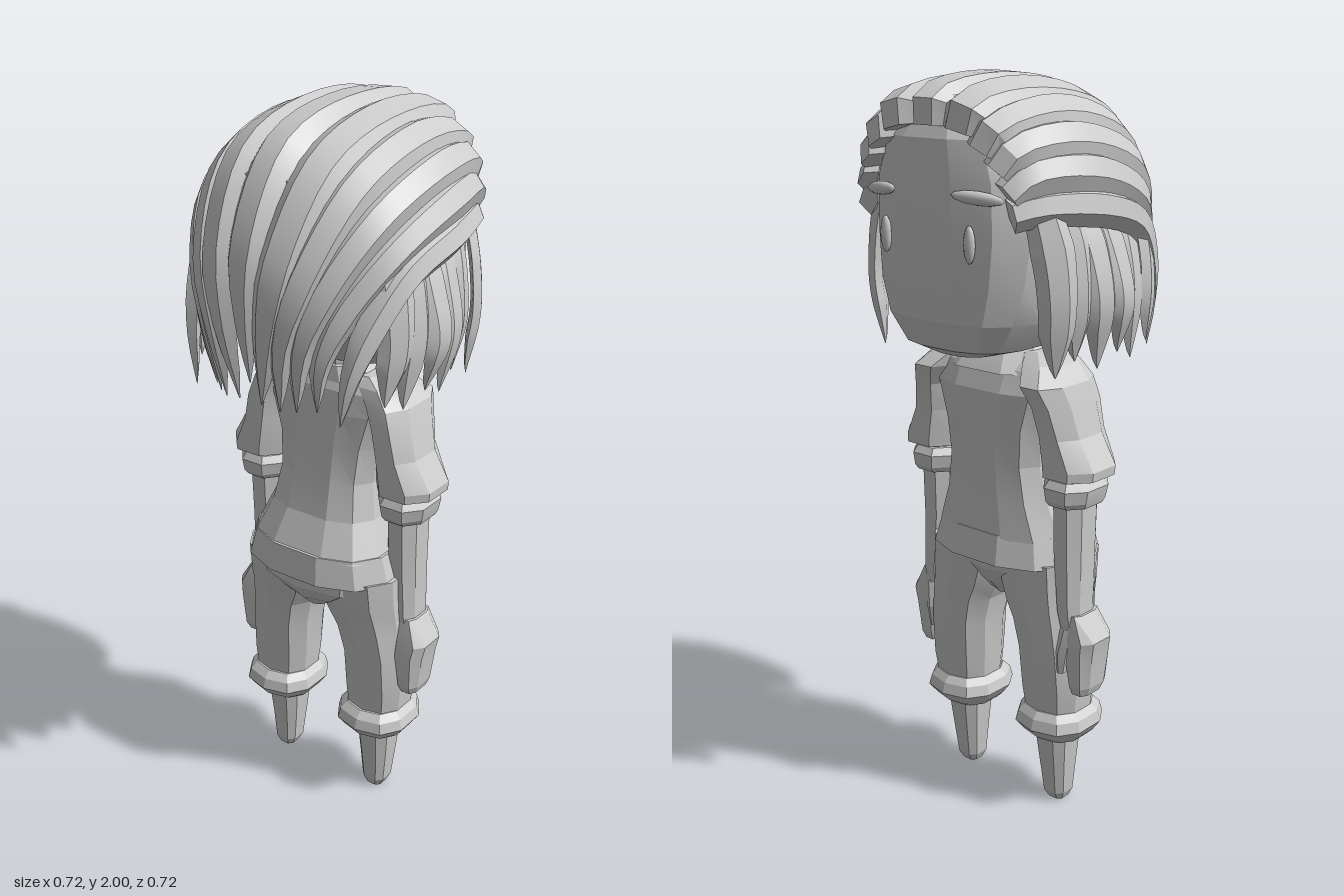
import * as THREE from 'three';
import { toCreasedNormals } from 'three/addons/utils/BufferGeometryUtils.js';

const clay = new THREE.MeshStandardMaterial({ color: 0xcccccc });
clay.name = 'clay grey';

// Skin a list of equal-length rings of Vector3 and close both ends
function skin(rings, crease) {
  const n = rings[0].length, pos = [], idx = [];
  rings.flat().forEach(v => pos.push(v.x, v.y, v.z));
  for (let i = 0; i < rings.length - 1; i++) {
    for (let j = 0; j < n; j++) {
      const a = i * n + j, b = i * n + (j + 1) % n;
      idx.push(a, a + n, b + n, a, b + n, b);
    }
  }
  [0, rings.length - 1].forEach(r => {
    const c = new THREE.Vector3();
    rings[r].forEach(v => c.addScaledVector(v, 1 / n));
    const k = pos.length / 3;
    pos.push(c.x, c.y, c.z);
    for (let j = 0; j < n; j++) {
      const a = r * n + j, b = r * n + (j + 1) % n;
      if (r === 0) idx.push(k, a, b); else idx.push(k, b, a);
    }
  });
  const g = new THREE.BufferGeometry();
  g.setAttribute('position', new THREE.Float32BufferAttribute(pos, 3));
  g.setIndex(idx);
  return toCreasedNormals(g, crease);
}

// Loft horizontal sections, bottom to top: [y, centre x, half width, front z, back z]
function loft(sections, sides = 8, power = 2.4, crease = 0.2) {
  const se = c => Math.sign(c) * Math.abs(c) ** (2 / power);
  const angles = Array.from({ length: sides }, (_, j) => (j + 0.5) / sides * Math.PI * 2);
  const fx = Math.max(...angles.map(a => se(Math.cos(a))));
  const fz = Math.max(...angles.map(a => se(Math.sin(a))));
  return skin(sections.map(([y, cx, rx, zf, zb]) => angles.map(a => new THREE.Vector3(
    cx + rx * se(Math.cos(a)) / fx, y, (zf + zb) / 2 + (zb - zf) / 2 * se(Math.sin(a)) / fz))), crease);
}

// Ridged, pointed hair lock following a path around the head
const skull = new THREE.Vector3(0, 1.6, -0.03);
function lock(points, width, side, depth = 0.034) {
  const curve = new THREE.CatmullRomCurve3(points.map(p => new THREE.Vector3(p[0] * side, p[1], p[2])));
  const steps = 20, rings = [];
  for (let i = 0; i <= steps; i++) {
    const t = i / steps, p = curve.getPointAt(t), T = curve.getTangentAt(t);
    const N = p.clone().sub(skull);
    N.addScaledVector(T, -N.dot(T)).normalize();
    const B = N.clone().cross(T);
    const taper = t > 0.74 ? Math.max(0.03, ((1 - t) / 0.26) ** 0.7) : 1;
    const w = width * taper * (1 - 0.3 * t) * Math.min(1, 0.75 + t);
    const at = (b, n) => p.clone().addScaledVector(B, b * w).addScaledVector(N, n * depth * taper);
    rings.push([at(-1, -1), at(-0.5, 0), at(0.45, 0.1), at(1, -1), at(0, -1.3)]);
  }
  return skin(rings, 0.5);
}

export function createModel() {
  const model = new THREE.Group();
  const add = (name, geometry) => {
    const m = new THREE.Mesh(geometry, clay);
    m.name = name;
    model.add(m);
    return m;
  };

  // Head, with a flat face towards -z
  add('head', loft([
    [1.31, 0, 0.09, -0.27, -0.1], [1.335, 0, 0.18, -0.315, 0.02], [1.41, 0, 0.235, -0.345, 0.1],
    [1.5, 0, 0.27, -0.352, 0.18], [1.62, 0, 0.285, -0.352, 0.24], [1.75, 0, 0.28, -0.352, 0.26],
    [1.85, 0, 0.23, -0.345, 0.24], [1.93, 0, 0.12, -0.3, 0.1]], 16, 2.8, 0.3));

  // Hair base under the locks
  add('hairBase', loft([
    [1.48, 0, 0.2, 0, 0.29], [1.6, 0, 0.26, -0.2, 0.31], [1.72, 0, 0.29, -0.27, 0.3],
    [1.82, 0, 0.265, -0.31, 0.25], [1.9, 0, 0.2, -0.32, 0.185], [1.95, 0, 0.11, -0.31, 0.08]], 24, 2.6, 0.6));

  // Locks rolled up from the hairline, over the crown and down the back
  const swept = [
    [0.082, [[0.105, 1.87, -0.35], [0.12, 1.935, -0.34], [0.13, 1.975, -0.1], [0.128, 1.9, 0.19], [0.1, 1.68, 0.335], [0.07, 1.5, 0.35], [0.035, 1.31, 0.32]]],
    [0.07, [[0.17, 1.83, -0.345], [0.195, 1.885, -0.325], [0.222, 1.93, -0.1], [0.212, 1.85, 0.17], [0.16, 1.65, 0.315], [0.11, 1.48, 0.34], [0.085, 1.3, 0.31]]],
    [0.065, [[0.215, 1.785, -0.335], [0.245, 1.84, -0.3], [0.285, 1.865, -0.1], [0.27, 1.78, 0.16], [0.205, 1.62, 0.285], [0.15, 1.47, 0.315], [0.12, 1.3, 0.29]]],
    [0.06, [[0.245, 1.735, -0.325], [0.275, 1.78, -0.275], [0.325, 1.785, -0.08], [0.305, 1.7, 0.14], [0.235, 1.56, 0.25], [0.185, 1.43, 0.28], [0.16, 1.3, 0.26]]],
    [0.055, [[0.255, 1.69, -0.315], [0.29, 1.705, -0.25], [0.34, 1.695, -0.07], [0.33, 1.64, 0.1], [0.295, 1.52, 0.2], [0.26, 1.4, 0.25], [0.23, 1.28, 0.26]]]];
  add('crownLock', lock([[0, 1.88, -0.35], [0, 1.95, -0.345], [0, 1.995, -0.1], [0, 1.93, 0.2], [0, 1.7, 0.345], [0, 1.52, 0.35], [0, 1.36, 0.32]], 0.078, 1));
  for (const s of [-1, 1]) {
    swept.forEach(([w, p]) => add('sweptLock', lock(p, w, s)));

    // Locks hanging beside the cheeks
    for (let i = 0; i < 6; i++) {
      const z = -0.23 + i * 0.075, out = 0.045 * Math.max(0, 1 - Math.abs(i - 2.7) / 1.6);
      add('sideLock', lock([[0.28, 1.7, z - 0.01], [0.312 + out / 2, 1.58, z], [0.322 + out, 1.45, z + 0.005],
        [0.295 + out / 2, 1.285 + (i % 2) * 0.03, z + 0.02]], 0.06, s, 0.022));
    }

    // Eyes and brows
    const eye = add('eye', new THREE.SphereGeometry(1, 12, 8));
    eye.scale.set(0.016, 0.046, 0.012);
    eye.position.set(s * 0.14, 1.61, -0.344);
    const brow = add('brow', new THREE.SphereGeometry(1, 12, 6));
    brow.scale.set(0.07, 0.017, 0.016);
    brow.position.set(s * 0.16, 1.72, -0.336);
    brow.rotation.set(0, -s * 0.3, -s * 0.08);

    // Sleeve, band, forearm and hand
    const part = (name, sections, n, p) =>
      add(name, loft(sections.map(([y, x, ...r]) => [y, s * x, ...r]), n, p));
    part('sleeve', [[0.995, 0.243, 0.083, -0.145, 0.048], [1.02, 0.243, 0.085, -0.145, 0.05],
      [1.1, 0.22, 0.062, -0.145, 0.05], [1.18, 0.205, 0.058, -0.16, 0.052], [1.235, 0.185, 0.062, -0.18, 0.045],
      [1.28, 0.15, 0.06, -0.13, 0.03], [1.305, 0.12, 0.04, -0.09, 0.01]], 8);
    part('sleeveBand', [[0.915, 0.236, 0.06, -0.125, 0.025], [0.93, 0.236, 0.066, -0.135, 0.037],
      [0.965, 0.236, 0.073, -0.138, 0.042], [0.985, 0.236, 0.06, -0.125, 0.03]], 8);
    part('forearm', [[0.55, 0.25, 0.03, -0.1, 0.0], [0.62, 0.244, 0.036, -0.11, 0.005],
      [0.78, 0.235, 0.045, -0.11, 0.012], [1.02, 0.235, 0.048, -0.115, 0.02]], 8);
    part('hand', [[0.375, 0.275, 0.024, -0.085, 0.005], [0.4, 0.276, 0.032, -0.095, 0.018],
      [0.5, 0.274, 0.046, -0.105, 0.025], [0.54, 0.278, 0.05, -0.108, 0.02], [0.61, 0.262, 0.025, -0.1, 0.0]], 8, 3);
    part('thumb', [[0.44, 0.235, 0.012, -0.115, -0.085], [0.5, 0.238, 0.02, -0.12, -0.075],
      [0.57, 0.25, 0.018, -0.11, -0.07]], 6);

    // Trouser leg, cuff and tapered foot
    part('trouserLeg', [[0.26, 0.167, 0.08, -0.11, 0.06], [0.36, 0.167, 0.092, -0.125, 0.068],
      [0.48, 0.163, 0.094, -0.135, 0.075], [0.56, 0.15, 0.1, -0.14, 0.085], [0.61, 0.135, 0.112, -0.143, 0.095],
      [0.66, 0.125, 0.12, -0.146, 0.11], [0.74, 0.122, 0.122, -0.15, 0.12]], 10);
    part('trouserCuff', [[0.21, 0.167, 0.075, -0.1, 0.055], [0.225, 0.167, 0.09, -0.12, 0.075],
      [0.255, 0.167, 0.11, -0.145, 0.098], [0.285, 0.167, 0.102, -0.136, 0.09], [0.305, 0.167, 0.085, -0.12, 0.07]], 10);
    part('foot', [[0, 0.165, 0.024, -0.045, 0.005], [0.025, 0.165, 0.036, -0.06, 0.015],
      [0.12, 0.165, 0.045, -0.073, 0.022], [0.23, 0.165, 0.055, -0.088, 0.034]], 8, 3);
  }

  // Pelvis, hem, tunic, collar and neck
  add('pelvis', loft([[0.6, 0, 0.03, -0.08, 0.07], [0.645, 0, 0.11, -0.12, 0.115],
    [0.69, 0, 0.19, -0.145, 0.142], [0.78, 0, 0.2, -0.15, 0.145]], 10));
  add('tunicHem', loft([[0.73, 0, 0.235, -0.19, 0.164], [0.81, 0, 0.212, -0.172, 0.15]], 12));
  add('tunic', loft([[0.8, 0, 0.208, -0.17, 0.147], [0.9, 0, 0.168, -0.165, 0.098], [1.0, 0, 0.15, -0.165, 0.072],
    [1.1, 0, 0.16, -0.17, 0.062], [1.2, 0, 0.195, -0.17, 0.06], [1.26, 0, 0.2, -0.145, 0.05],
    [1.3, 0, 0.15, -0.11, 0.03]], 12, 2.8));
  add('collar', loft([[1.25, 0, 0.16, -0.165, 0.045], [1.28, 0, 0.14, -0.145, 0.04],
    [1.32, 0, 0.105, -0.11, 0.03]], 8));
  add('neck', loft([[1.25, 0, 0.08, -0.12, 0.02], [1.38, 0, 0.08, -0.12, 0.02]], 8));
  return model;
}
